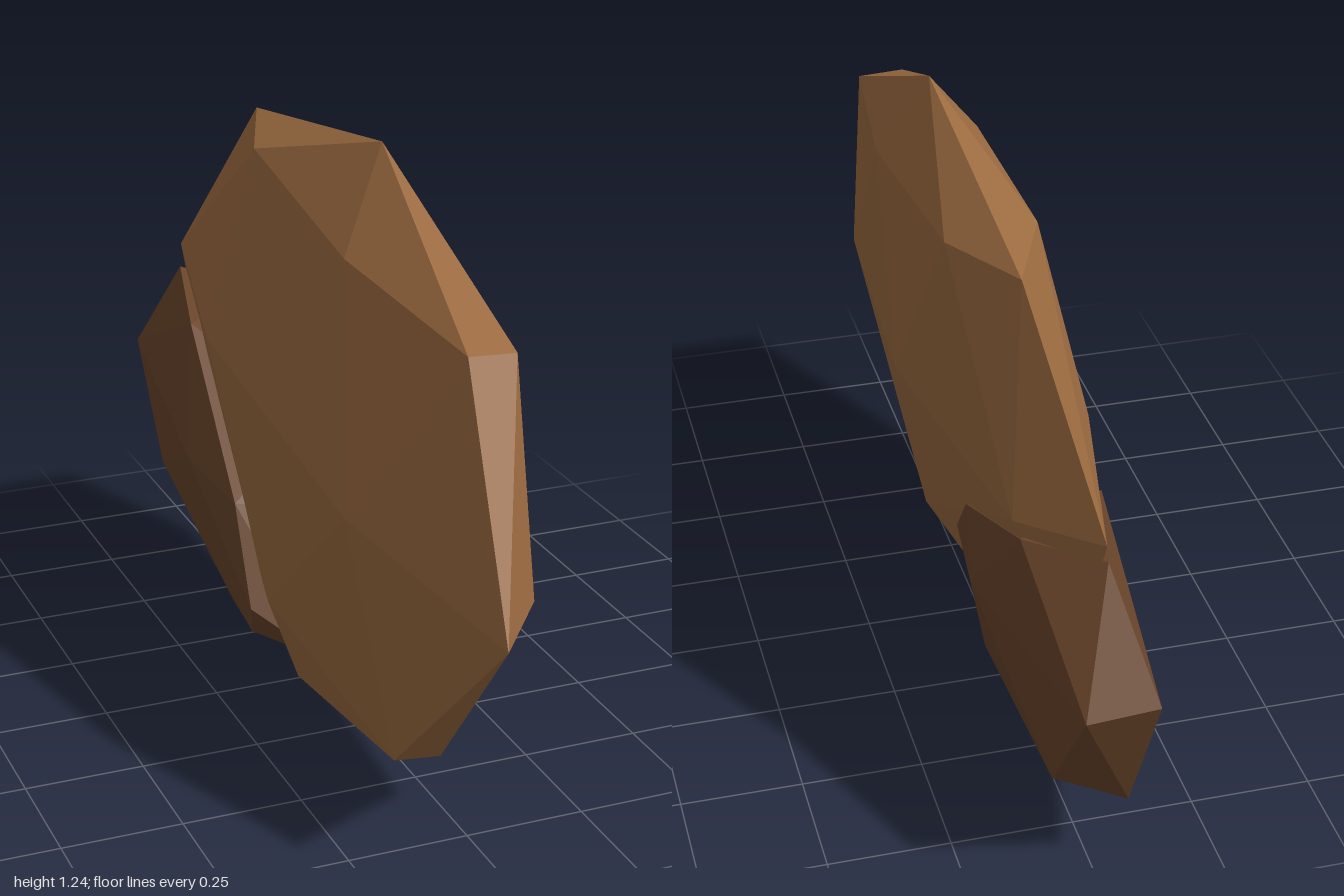
import * as THREE from 'three';
import { ConvexGeometry } from 'three/addons/geometries/ConvexGeometry.js';

// A faceted rock: the convex hull of a few corner points
function rock(name, corners, material) {
  const points = corners.map(([x, y, z]) => new THREE.Vector3(x, y, z));
  const mesh = new THREE.Mesh(new ConvexGeometry(points), material);
  mesh.name = name;
  return mesh;
}

export function createModel() {
  const group = new THREE.Group();
  group.name = 'rockSlab';

  const lightBrown = new THREE.MeshStandardMaterial({ color: 0x9c6b40 });
  lightBrown.name = 'light brown stone';
  const darkBrown = new THREE.MeshStandardMaterial({ color: 0x6b462b });
  darkBrown.name = 'dark brown stone';

  // Tall main slab
  group.add(rock('mainRock', [
    // front nose and upper ridge
    [-0.045, 0.52, 1], [-0.01, 0.99, 0.73], [0.09, 0.985, 0.73],
    [0.065, 1.24, 0.15], [0.06, 1.14, -0.55],
    // left side
    [0.145, 1.1, -0.3], [0.155, 1.03, 0.26], [0.095, 0.52, 0.82],
    [0.165, 0.61, 0.07], [0.075, 0.18, 0.18], [0.11, 0.7, -0.68],
    // right side
    [-0.04, 1.12, -0.3], [-0.07, 1.05, 0.28], [-0.14, 0.69, -0.34],
    [-0.15, 0.59, 0.48], [-0.13, 0.2, 0],
    // underside and back
    [-0.1, 0.12, 0.62], [0, 0.11, 0.62], [-0.06, 0.005, 0],
    [-0.02, 0.74, -0.86], [0, 0.25, -0.55], [0, 0.45, -0.75],
  ], lightBrown));

  // Smaller dark rock set into the lower back
  group.add(rock('backRock', [
    // back edge and top
    [0.055, 0.45, -1], [-0.09, 0.46, -1], [-0.065, 0.17, -0.9],
    [-0.03, 0.69, -0.84], [0.1, 0.67, -0.7],
    // left side
    [0.125, 0.38, -0.42], [0.09, 0.57, -0.6], [0.104, 0.49, -0.3],
    [0.083, 0.33, -0.14], [0.052, 0.2, -0.14], [0.05, 0.085, -0.25],
    [0.05, 0.14, -0.77],
    // right side
    [-0.17, 0.39, -0.4], [-0.105, 0.65, -0.55], [-0.148, 0.37, -0.15],
    [-0.15, 0.16, -0.05],
    // underside
    [-0.125, 0.075, -0.11], [-0.055, 0, -0.43], [-0.01, 0.05, 0.03],
  ], darkBrown));

  return group;
}
